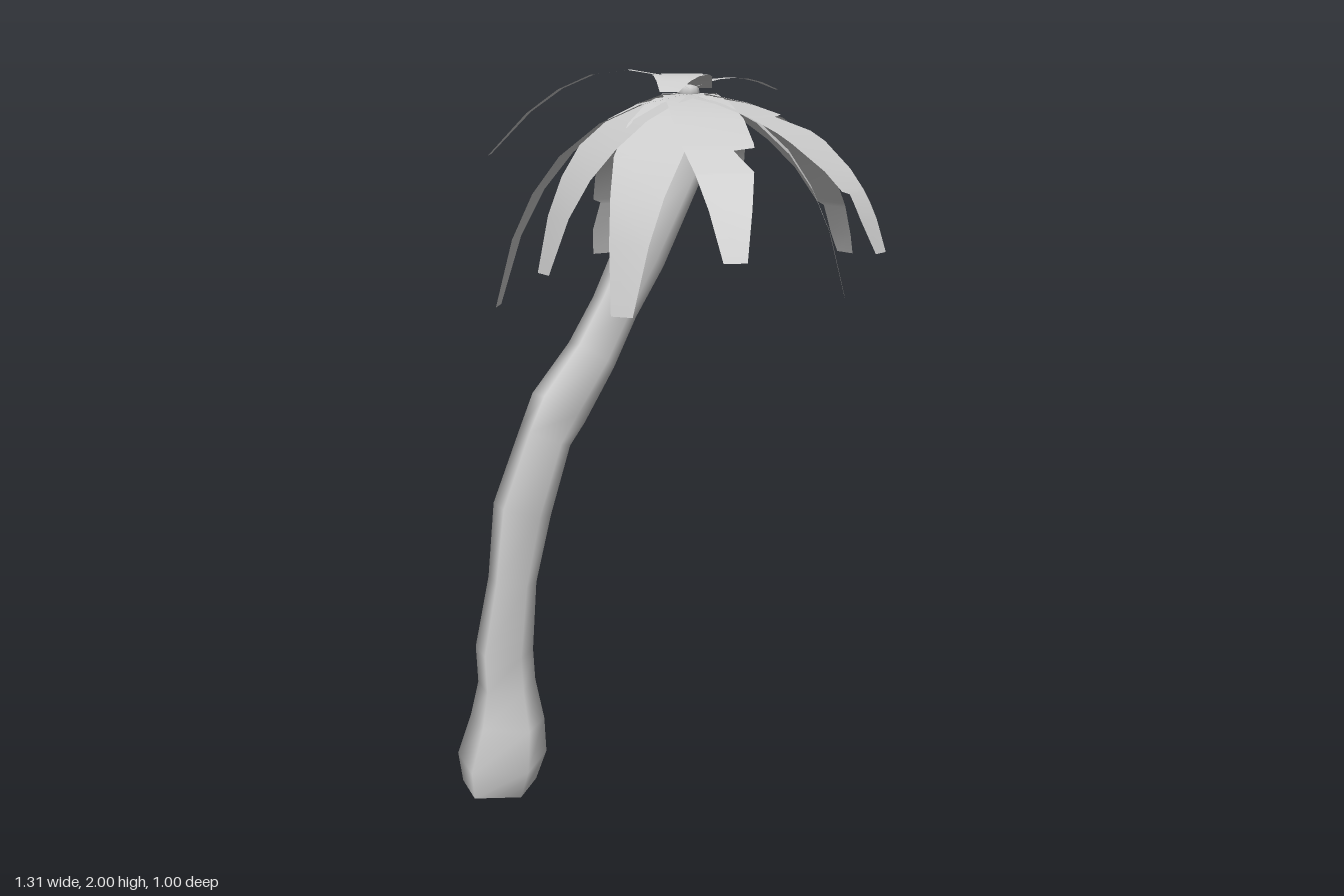
import * as THREE from 'three';

const V = (x, y, z) => new THREE.Vector3(x, y, z);
const mat = new THREE.MeshStandardMaterial({ color: 0xcccccc });
const leafMat = new THREE.MeshStandardMaterial({ color: 0xcccccc, side: THREE.DoubleSide });

function makeGeometry(positions, index) {
  const g = new THREE.BufferGeometry();
  g.setAttribute('position', new THREE.Float32BufferAttribute(positions, 3));
  g.setIndex(index);
  g.computeVertexNormals();
  return g;
}

function makeMesh(name, geometry, material) {
  const m = new THREE.Mesh(geometry, material);
  m.name = name;
  return m;
}

// Trunk rings: x, y, radius
const RINGS = [
  [-0.55, 0, 0.11], [-0.54, 0.08, 0.133], [-0.52, 0.19, 0.11], [-0.52, 0.3, 0.085],
  [-0.525, 0.4, 0.085], [-0.495, 0.6, 0.071], [-0.46, 0.8, 0.086], [-0.385, 1.0, 0.078],
  [-0.34, 1.08, 0.088], [-0.235, 1.22, 0.076], [-0.16, 1.35, 0.07], [-0.08, 1.49, 0.079],
  [0.05, 1.72, 0.07], [0.115, 1.9, 0.05],
];
const SIDES = 5, TWIST = 0.16, TRUNK_Z = -0.035;

// Five-sided rings set square to the bend of the trunk
function trunkGeometry() {
  const pos = [], idx = [];
  RINGS.forEach(([x, y, r], i) => {
    const a = RINGS[Math.max(i - 1, 0)], b = RINGS[Math.min(i + 1, RINGS.length - 1)];
    const t = i < 2 ? V(0, 1, 0) : V(b[0] - a[0], b[1] - a[1], 0).normalize();
    for (let j = 0; j < SIDES; j++) {
      const q = TWIST + (j / SIDES) * Math.PI * 2, c = Math.cos(q) * r;
      pos.push(x + t.y * c, y - t.x * c, TRUNK_Z + Math.sin(q) * r);
    }
  });
  for (let i = 0; i < RINGS.length - 1; i++) {
    for (let j = 0; j < SIDES; j++) {
      const a = i * SIDES + j, b = i * SIDES + (j + 1) % SIDES;
      idx.push(a, a + SIDES, b, b, a + SIDES, b + SIDES);
    }
  }
  return makeGeometry(pos, idx);
}

// Relative half width along a frond: wide blade, then a straight taper down the drooping end
function bladeWidth(t) {
  if (t < 0.3) return 0.8 + 0.2 * (t / 0.3);
  return t < 0.48 ? 1 : 1 - 0.68 * (t - 0.48) / 0.52;
}

// A tear cuts sharply inward at n, then widens back out toward the tip
function tornWidth(t, notches) {
  let w = bladeWidth(t);
  for (const [n, depth] of notches) {
    if (t > n + 0.005 && t < n + 0.13) w *= 1 - depth * (1 - (t - n - 0.015) / 0.115);
  }
  return w;
}

// Flat-across leaf bent along a curve; plus and minus list the tears on each side
function frondGeometry({ tip, rootY, half, bend, lift, plus = [], minus = [] }) {
  const root = V(0.09, rootY, -0.05), end = V(...tip);
  const ctrl = root.clone().lerp(end, bend);
  ctrl.y = root.y + lift;
  const curve = new THREE.QuadraticBezierCurve3(root, ctrl, end);
  const d = V(end.x - root.x, 0, end.z - root.z).normalize();
  const side = V(-d.z, 0, d.x);
  const stations = [0, 0.15, 0.3, 0.48, 0.64, 0.8, 1];
  for (const [n] of [...plus, ...minus]) stations.push(n, n + 0.015, n + 0.13);
  stations.sort((a, b) => a - b);
  const pos = [], idx = [];
  stations.forEach((t, i) => {
    const p = curve.getPoint(t);
    const a = p.clone().addScaledVector(side, -half * tornWidth(t, minus));
    const b = p.clone().addScaledVector(side, half * tornWidth(t, plus));
    pos.push(...a.toArray(), ...b.toArray());
    if (i) {
      const k = 2 * i - 2;
      idx.push(k, k + 1, k + 2, k + 1, k + 3, k + 2);
    }
  });
  return makeGeometry(pos, idx);
}

// Long drooping fronds
const LOWER = [
  { tip: [0.655, 1.45, -0.065], half: 0.118, minus: [[0.8, 0.4]] },
  { tip: [0.46, 1.36, 0.2] },
  { tip: [0.36, 1.52, 0.49], half: 0.095, minus: [[0.28, 0.6]], plus: [[0.74, 0.5]] },
  { tip: [-0.1, 1.52, 0.49], half: 0.098, minus: [[0.5, 0.6]] },
  { tip: [-0.275, 1.36, 0.21], half: 0.1 },
  { tip: [-0.37, 1.45, -0.06] },
  { tip: [-0.355, 1.32, -0.39] },
  { tip: [0.05, 1.44, -0.495], plus: [[0.38, 0.35]], minus: [[0.78, 0.4]] },
  { tip: [0.445, 1.5, -0.4], half: 0.095, minus: [[0.42, 0.4]] },
];

// Shorter fronds arching over the top
const UPPER = [
  { tip: [-0.39, 1.76, -0.35], half: 0.1, lift: 0.16 },
  { tip: [0.21, 1.94, -0.34], half: 0.06, lift: 0.08, minus: [[0.5, 0.4]] },
  { tip: [0.335, 1.94, 0.025], half: 0.045, lift: 0.06 },
  { tip: [-0.1, 1.94, 0.16], half: 0.08, lift: 0.08 },
];

export function createModel() {
  const model = new THREE.Group();
  model.name = 'palmTree';

  // Trunk and its flat underside
  model.add(makeMesh('trunk', trunkGeometry(), mat));
  const [bx, by, br] = RINGS[0];
  const base = makeMesh('trunkBase', new THREE.CircleGeometry(br, SIDES, TWIST).rotateX(Math.PI / 2), mat);
  base.position.set(bx, by, TRUNK_Z);
  model.add(base);

  // Crown
  const crown = new THREE.Group();
  crown.name = 'crown';
  for (const f of LOWER) {
    const shape = { rootY: 1.93, half: 0.112, bend: 0.8, lift: -0.06, ...f };
    crown.add(makeMesh('lowerFrond', frondGeometry(shape), leafMat));
  }
  for (const f of UPPER) {
    crown.add(makeMesh('upperFrond', frondGeometry({ rootY: 1.945, bend: 0.5, ...f }), leafMat));
  }

  // Bud at the middle of the crown
  const bud = makeMesh('bud', new THREE.SphereGeometry(0.032, 10, 8), mat);
  bud.position.set(0.087, 1.935, -0.052);
  crown.add(bud);
  model.add(crown);
  return model;
}
